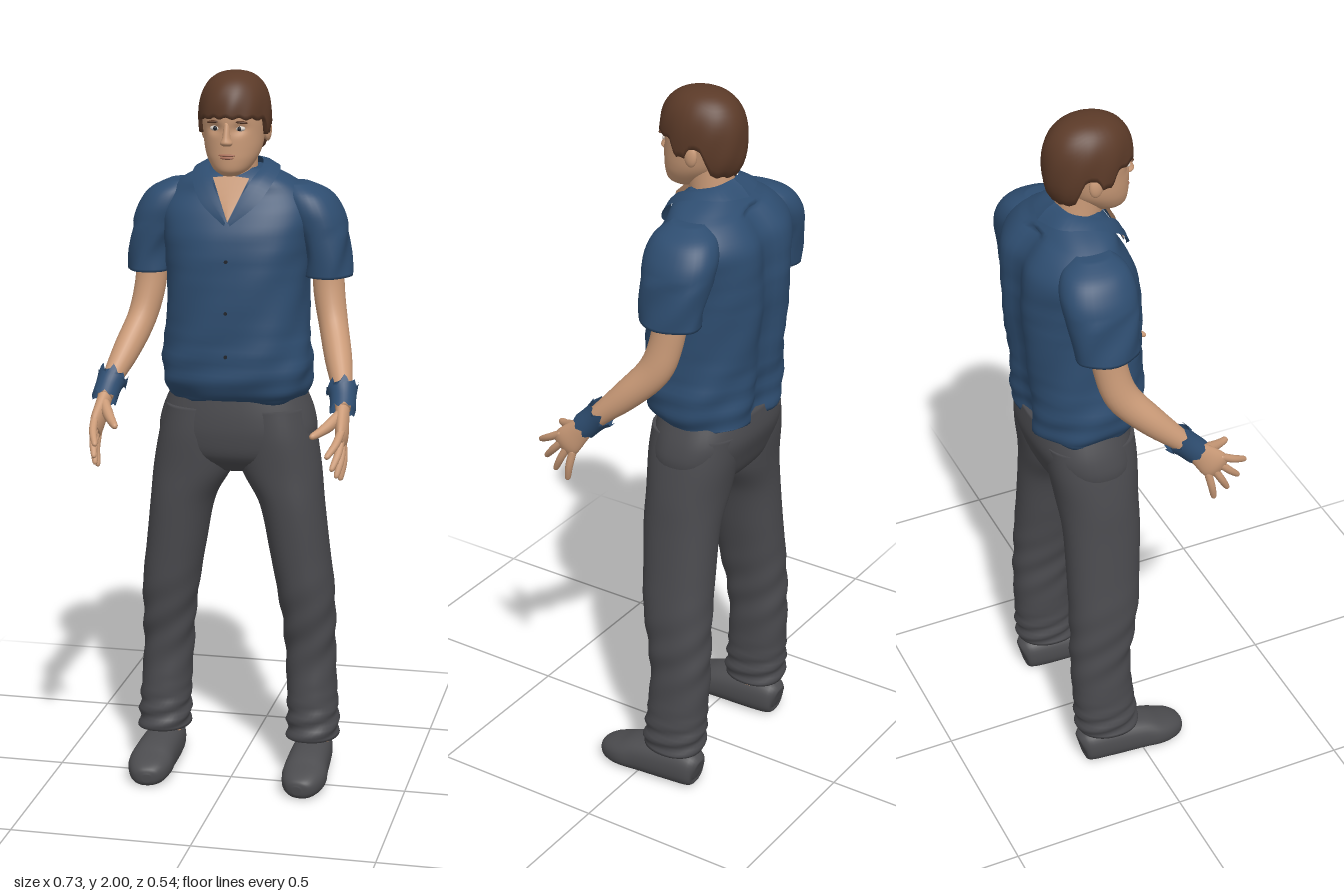
import * as THREE from 'three';

const mat = (name, color, side = THREE.FrontSide) => {
  const m = new THREE.MeshStandardMaterial({ color, side });
  m.name = name;
  return m;
};

const mix = (p, q, r, s, t) =>
  0.5 * (2 * q + (r - p) * t + (2 * p - 5 * q + 4 * r - s) * t * t + (3 * q - p - 3 * r + s) * t * t * t);

// Smooth loft through rings [x, y, z, radiusU, radiusV]. Rings lie flat (listed upwards),
// or stand across the path when `path` is set.
function loft(rings, { path = false, seg = 32, steps = 5, pow = 2, caps = true, deform } = {}) {
  const rows = [], n = rings.length, at = i => rings[Math.min(n - 1, Math.max(0, i))];
  for (let i = 0; i < n - 1; i++)
    for (let k = 0; k < steps; k++)
      rows.push(at(i).map((_, c) => mix(at(i - 1)[c], at(i)[c], at(i + 1)[c], at(i + 2)[c], k / steps)));
  rows.push(rings[n - 1]);
  const pos = [], index = [], centre = r => new THREE.Vector3(r[0], r[1], r[2]);
  const last = rows.length - 1;
  rows.forEach((r, i) => {
    const t = path
      ? centre(rows[Math.min(last, i + 1)]).sub(centre(rows[Math.max(0, i - 1)])).normalize()
      : new THREE.Vector3(0, 1, 0);
    const u = new THREE.Vector3(1, 0, 0).addScaledVector(t, -t.x).normalize();
    const v = u.clone().cross(t);
    for (let j = 0; j < seg; j++) {
      const a = j / seg * Math.PI * 2, c = Math.cos(a), s = Math.sin(a);
      const p = centre(r)
        .addScaledVector(u, r[3] * Math.sign(c) * Math.abs(c) ** (2 / pow))
        .addScaledVector(v, r[4] * Math.sign(s) * Math.abs(s) ** (2 / pow));
      if (deform) deform(p, a, i / last, i);
      pos.push(p.x, p.y, p.z);
      if (i < last) {
        const A = i * seg + j, B = i * seg + (j + 1) % seg;
        index.push(A, A + seg, B, B, A + seg, B + seg);
      }
    }
  });
  if (caps) {
    const b = pos.length / 3, top = last * seg;
    pos.push(...rows[0].slice(0, 3), ...rows[last].slice(0, 3));
    for (let j = 0; j < seg; j++) {
      const k = (j + 1) % seg;
      index.push(b, j, k, b + 1, top + k, top + j);
    }
  }
  const g = new THREE.BufferGeometry();
  g.setAttribute('position', new THREE.Float32BufferAttribute(pos, 3));
  g.setIndex(index);
  g.computeVertexNormals();
  return g;
}

// Strip between two smooth curves
function strip(a, b, n = 24) {
  const curve = l => new THREE.CatmullRomCurve3(l.map(p => new THREE.Vector3(...p))).getPoints(n);
  const A = curve(a), B = curve(b), pos = [], index = [];
  A.forEach((p, i) => {
    const m = p.clone().lerp(B[i], 0.5);
    m.y += 0.006;
    pos.push(...p, ...m, ...B[i]);
    if (i < n) for (const k of [i * 3, i * 3 + 1]) index.push(k, k + 1, k + 3, k + 1, k + 4, k + 3);
  });
  const g = new THREE.BufferGeometry();
  g.setAttribute('position', new THREE.Float32BufferAttribute(pos, 3));
  g.setIndex(index);
  g.computeVertexNormals();
  return g;
}

export function createModel() {
  const model = new THREE.Group();
  const skin = mat('skin', 0xcb9b78, THREE.DoubleSide), shirt = mat('shirt blue', 0x2e4d70, THREE.DoubleSide);
  const grey = mat('trouser grey', 0x4a4a4e), shoeGrey = mat('shoe grey', 0x4c4c4f);
  const hairBrown = mat('hair brown', 0x5b3a28, THREE.DoubleSide), lip = mat('lip', 0xa56b56);
  const white = mat('eye white', 0xd8cfc6), dark = mat('dark', 0x22252c);
  const add = (name, g, m) => {
    const o = new THREE.Mesh(g, m);
    o.name = name;
    model.add(o);
    return o;
  };
  const blob = (name, m, p, s) => {
    const o = add(name, new THREE.SphereGeometry(1, 20, 14), m);
    o.position.set(...p);
    o.scale.set(...s);
    return o;
  };
  const bump = (d, w) => Math.exp(-d * d / (w * w));

  // Shirt body with a spine groove and soft folds
  add('shirtBody', loft([
    [0, 1.105, -0.105, 0.19, 0.135], [0, 1.14, -0.092, 0.202, 0.152], [0, 1.2, -0.088, 0.208, 0.158],
    [0, 1.3, -0.092, 0.197, 0.162], [0, 1.45, -0.1, 0.195, 0.168], [0, 1.55, -0.105, 0.205, 0.162],
    [0, 1.62, -0.115, 0.215, 0.145], [0, 1.67, -0.115, 0.195, 0.115], [0, 1.71, -0.1, 0.145, 0.09],
    [0, 1.74, -0.1, 0.08, 0.06]], {
    seg: 64, pow: 2.5,
    deform(p, a, t) {
      const back = Math.max(0, -Math.sin(a)), low = Math.max(0, 1 - t * 1.4);
      if (t < 0.85) p.z += back * (0.02 * bump(p.x, 0.04) - 0.006 * bump(Math.abs(p.x) - 0.09, 0.05));
      const w = 0.004 * low * Math.sin(a * 7 + p.y * 30) + 0.003 * low * Math.sin(p.y * 95 + a * 2);
      p.x += w * Math.cos(a);
      p.z += w * Math.sin(a);
      if (t === 0) p.y += 0.006 * Math.sin(a * 5);
    } }), shirt);
  add('chestSkin', strip([[-0.05, 1.718, 0], [0, 1.605, 0.05]], [[0.05, 1.718, 0], [0, 1.604, 0.05]], 8), skin);
  for (const y of [1.5, 1.36, 1.24]) {
    const b = add('button', new THREE.CylinderGeometry(0.005, 0.005, 0.006, 12), dark);
    b.rotation.x = Math.PI / 2;
    b.position.set(0, y, y > 1.4 ? 0.066 : 0.071);
  }

  // Trouser seat
  add('trouserSeat', loft([[0, 0.895, -0.09, 0.06, 0.06], [0, 0.94, -0.09, 0.19, 0.11], [0, 1, -0.095, 0.22, 0.13],
    [0, 1.06, -0.103, 0.212, 0.138], [0, 1.125, -0.103, 0.185, 0.13]], { seg: 48, pow: 2.4 }), grey);

  for (const s of [1, -1]) {
    const side = s > 0 ? 'left' : 'right';
    const flip = l => l.map(([x, ...r]) => [x * s, ...r]);

    // Collar halves running down to the neck opening
    add(side + 'Collar', strip(
      flip([[0, 1.768, -0.145], [0.055, 1.76, -0.125], [0.073, 1.745, -0.07], [0.056, 1.715, -0.005], [0.03, 1.665, 0.028], [0, 1.6, 0.054]]),
      flip([[0, 1.728, -0.195], [0.085, 1.738, -0.165], [0.118, 1.735, -0.085], [0.108, 1.7, -0.012], [0.075, 1.65, 0.03], [0.008, 1.595, 0.053]])), shirt);

    // Sleeve
    add(side + 'Sleeve', loft(flip([[0.25, 1.445, -0.112, 0.062, 0.086], [0.246, 1.5, -0.115, 0.061, 0.091],
      [0.225, 1.58, -0.12, 0.073, 0.1], [0.205, 1.63, -0.12, 0.075, 0.1], [0.185, 1.67, -0.117, 0.064, 0.083],
      [0.16, 1.697, -0.11, 0.035, 0.045]]), {
      pow: 2.2,
      deform(p, a, t) { if (t < 0.4) p.x += s * 0.004 * Math.sin(a * 4 + p.y * 40); } }), shirt);

    // Arm and hand
    add(side + 'Arm', loft(flip([[0.245, 1.5, -0.115, 0.044, 0.047], [0.252, 1.4, -0.105, 0.043, 0.046],
      [0.27, 1.31, -0.078, 0.04, 0.046], [0.297, 1.23, -0.008, 0.037, 0.04], [0.32, 1.165, 0.06, 0.027, 0.03],
      [0.33, 1.12, 0.105, 0.02, 0.027]]), { path: true, seg: 24 }), skin);
    add(side + 'Palm', loft(flip([[0.328, 1.13, 0.095, 0.019, 0.025], [0.332, 1.095, 0.128, 0.019, 0.034],
      [0.337, 1.06, 0.16, 0.017, 0.041], [0.336, 1.04, 0.178, 0.01, 0.034]]), { path: true, seg: 24 }), skin);
    [[1.076, 0.183, 0.315, 1.025, 0.268], [1.06, 0.172, 0.325, 0.985, 0.243],
      [1.046, 0.158, 0.332, 0.957, 0.208], [1.033, 0.143, 0.336, 0.94, 0.165]].forEach(([y, z, x, ty, tz]) => {
      const at = (k, r, bend = 0) => [0.337 + (x - 0.337) * k + bend, y + (ty - y) * k, z + (tz - z) * k, r, r];
      add(side + 'Finger', loft(flip([at(-0.1, 0.011), at(0.45, 0.0105, 0.005), at(0.9, 0.008), at(1, 0.003)]),
        { path: true, seg: 12, steps: 4 }), skin);
    });
    add(side + 'Thumb', loft(flip([[0.326, 1.11, 0.125, 0.015, 0.018], [0.305, 1.09, 0.165, 0.015, 0.017],
      [0.285, 1.078, 0.2, 0.012, 0.012], [0.27, 1.072, 0.226, 0.009, 0.009], [0.266, 1.071, 0.233, 0.003, 0.003]]),
    { path: true, seg: 14, steps: 4 }), skin);

    // Ragged wristband
    add(side + 'Wristband', loft(flip([[0.319, 1.168, 0.057, 0.043, 0.043], [0.325, 1.148, 0.078, 0.036, 0.037],
      [0.33, 1.118, 0.108, 0.035, 0.037]]), {
      path: true, caps: false, steps: 4,
      deform(p, a, t) {
        const rag = 0.009 * Math.sin(a * 8) + 0.005 * Math.sin(a * 5 + 1);
        const k = t < 0.1 ? 1 : t > 0.95 ? 0.4 : 0;
        p.y += rag * k;
        p.z -= rag * k;
      } }), shirt);

    // Trouser leg, with creases at the knee and cuff
    add(side + 'TrouserLeg', loft(flip([[0.217, 0.115, -0.1, 0.073, 0.09], [0.215, 0.2, -0.107, 0.071, 0.088],
      [0.207, 0.35, -0.115, 0.07, 0.086], [0.203, 0.45, -0.108, 0.073, 0.092], [0.193, 0.56, -0.098, 0.08, 0.1],
      [0.178, 0.66, -0.093, 0.083, 0.103], [0.156, 0.8, -0.088, 0.09, 0.108], [0.125, 0.9, -0.09, 0.112, 0.114],
      [0.11, 1, -0.095, 0.11, 0.124], [0.1, 1.08, -0.1, 0.1, 0.125]]), {
      seg: 40, pow: 2.2, steps: 8,
      deform(p, a) {
        const w = 0.005 * bump(p.y - 0.16, 0.07) * Math.sin(p.y * 130 + a * 2)
          + 0.003 * bump(p.y - 0.42, 0.12) * Math.sin(p.y * 60 + a * 3);
        p.x += w * Math.cos(a);
        p.z += w * Math.sin(a);
      } }), grey);

    // Ankle and shoe
    const ankle = add(side + 'Ankle', new THREE.CylinderGeometry(0.048, 0.045, 0.1, 20), skin);
    ankle.position.set(0.217 * s, 0.1, -0.1);
    add(side + 'Shoe', loft(flip([[0.217, 0.05, -0.182, 0.02, 0.03], [0.217, 0.052, -0.168, 0.045, 0.052],
      [0.217, 0.054, -0.1, 0.055, 0.058], [0.22, 0.049, 0, 0.06, 0.054], [0.222, 0.04, 0.055, 0.063, 0.044],
      [0.219, 0.032, 0.1, 0.052, 0.036], [0.216, 0.028, 0.124, 0.034, 0.026], [0.215, 0.027, 0.132, 0.012, 0.012]]), {
      path: true, pow: 2.4, deform(p) { p.y = Math.max(0, p.y); } }), shoeGrey);

    // Eye, brow and ear
    blob(side + 'Eye', white, [0.034 * s, 1.856, 0.041], [0.014, 0.007, 0.008]);
    blob(side + 'Iris', dark, [0.033 * s, 1.856, 0.046], [0.006, 0.006, 0.0045]);
    blob(side + 'Brow', hairBrown, [0.036 * s, 1.874, 0.047], [0.02, 0.004, 0.009]).rotation.z = -0.1 * s;
    blob(side + 'Ear', skin, [0.086 * s, 1.842, -0.068], [0.011, 0.031, 0.019]);
  }

  // Neck, head with sunken eyes, nose and mouth
  add('neck', loft([[0, 1.64, -0.095, 0.065, 0.065], [0, 1.72, -0.082, 0.056, 0.063], [0, 1.83, -0.07, 0.058, 0.066]]), skin);
  add('head', loft([[0, 1.727, 0.005, 0.022, 0.03], [0, 1.742, -0.005, 0.047, 0.055], [0, 1.77, -0.02, 0.066, 0.075],
    [0, 1.8, -0.035, 0.077, 0.091], [0, 1.84, -0.045, 0.083, 0.102], [0, 1.88, -0.05, 0.087, 0.11],
    [0, 1.92, -0.052, 0.087, 0.11], [0, 1.97, -0.055, 0.06, 0.08]], {
    seg: 64, steps: 7,
    deform(p, a) {
      if (Math.sin(a) > 0) p.z -= 0.01 * bump(Math.abs(p.x) - 0.034, 0.018) * bump(p.y - 1.855, 0.014);
    } }), skin);
  add('nose', loft([[0, 1.81, 0.053, 0.01, 0.009], [0, 1.818, 0.058, 0.017, 0.018], [0, 1.835, 0.055, 0.011, 0.017],
    [0, 1.872, 0.05, 0.008, 0.01]], { seg: 18 }), skin);
  blob('upperLip', lip, [0, 1.785, 0.052], [0.023, 0.004, 0.007]);
  blob('lowerLip', lip, [0, 1.778, 0.052], [0.019, 0.0045, 0.007]);

  // Hair cap whose hem follows fringe, sideburns, ears and nape
  const hem = [[-1, 1.78], [-0.6, 1.79], [-0.4, 1.86], [-0.1, 1.865], [0, 1.835], [0.22, 1.835], [0.35, 1.875], [1, 1.885]];
  const hemAt = s => {
    const i = Math.max(1, hem.findIndex(h => h[0] >= s - 1e-9));
    const [a, b] = [hem[i - 1], hem[i]];
    return a[1] + (b[1] - a[1]) * (s - a[0]) / (b[0] - a[0]);
  };
  const rows = Array.from({ length: 18 }, () => [0, 0, 0, 1, 1]);
  add('hair', loft(rows, {
    seg: 96, steps: 1, caps: false,
    deform(p, a, t, i) {
      const h = hemAt(Math.sin(a)) + 0.003 * Math.sin(a * 17);
      const k = Math.sin(Math.max(0, i - 1) / 16 * Math.PI / 2);
      p.y = h + (2 - h) * k;
      let r = Math.max(0, 1 - Math.abs((p.y - 1.87) / 0.13) ** 2.5) ** 0.4;
      r *= (i === 0 ? 0.87 : 1) * (1 + 0.012 * Math.sin(a * 9 + p.y * 40) * (1 - k));
      p.x = 0.098 * r * Math.cos(a);
      p.z = -0.053 + 0.122 * r * Math.sin(a);
    } }), hairBrown);

  return model;
}
